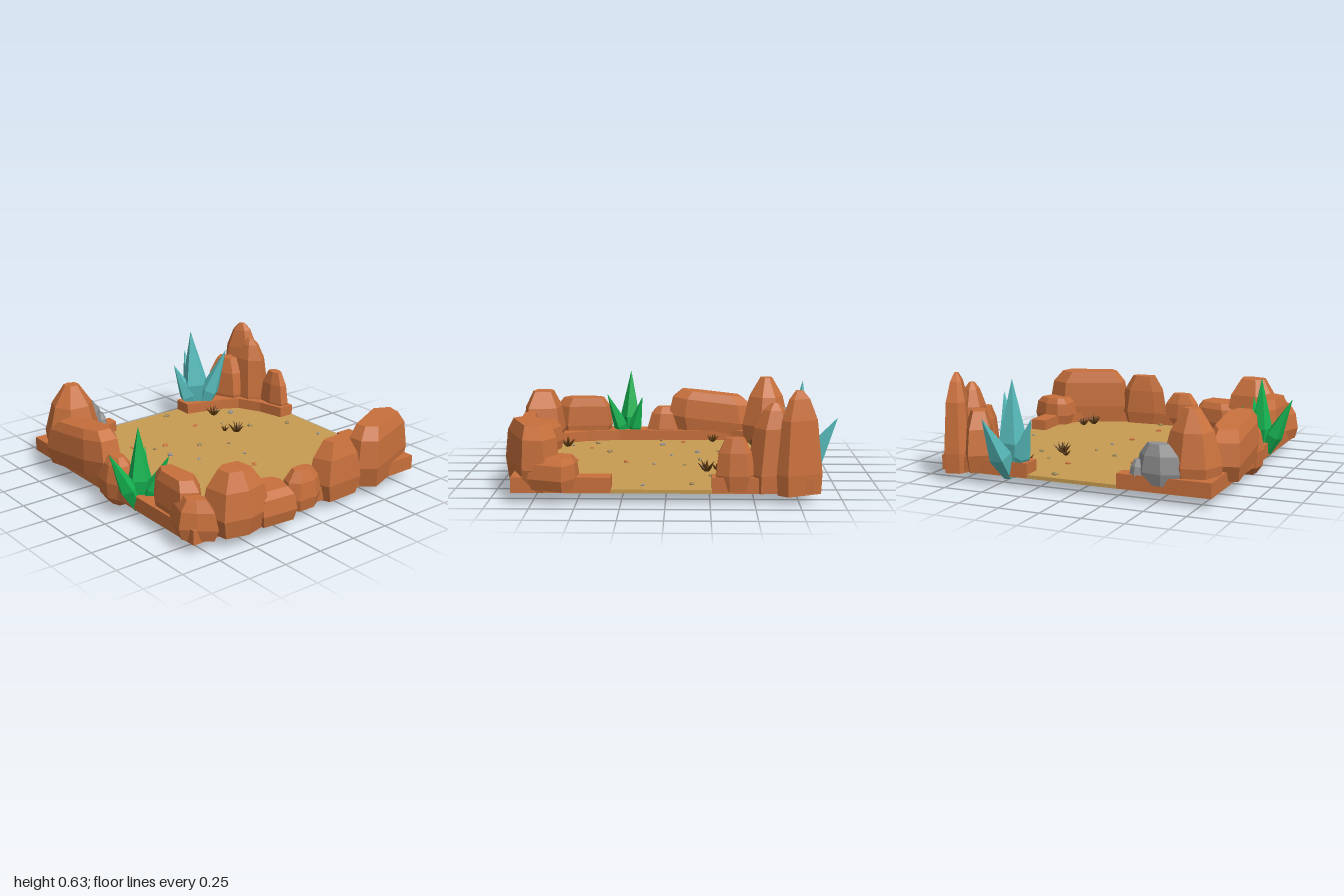
import * as THREE from 'three';
import { ConvexGeometry } from 'three/addons/geometries/ConvexGeometry.js';

const paint = (color) => new THREE.MeshStandardMaterial({ color, flatShading: true });
const rockMat = paint(0xc8703c), sandMat = paint(0xc89c52), greyMat = paint(0x909090);
const greenMat = paint(0x16b552), tealMat = paint(0x58bcbc), tuftMat = paint(0x5c3a12), tanMat = paint(0x9c8654);

// Default boulder profile: [height fraction, footprint scale]
const BOULDER = [[0, 0.82], [0.3, 1], [0.72, 0.84], [1, 0.48]];
const COLUMN = [[0, 0.95], [0.2, 1], [0.72, 0.78], [0.92, 0.45], [1, 0.16]];
const BLOCK = [[0, 0.88], [0.35, 1], [0.8, 0.9], [1, 0.68]];

// Faceted rock: a footprint of [x, z] corners stacked at several heights, optionally leaning and sloping in z
function rock(name, foot, y0, y1, profile = BOULDER, { lean = [0, 0], slope = 0, mat = rockMat } = {}) {
  const cx = foot.reduce((s, p) => s + p[0], 0) / foot.length;
  const cz = foot.reduce((s, p) => s + p[1], 0) / foot.length;
  const pts = [];
  for (const [t, s] of profile) {
    for (const [x, z] of foot) {
      const px = cx + (x - cx) * s + lean[0] * t, pz = cz + (z - cz) * s + lean[1] * t;
      pts.push(new THREE.Vector3(px, y0 + (y1 - y0) * t + slope * (pz - cz), pz));
    }
  }
  const mesh = new THREE.Mesh(new ConvexGeometry(pts), mat);
  mesh.name = name;
  return mesh;
}

// Irregular seven-sided footprint inside a rectangle
function oval(x0, x1, z0, z1, turn = 0.3) {
  const out = [];
  for (let i = 0; i < 7; i++) {
    const a = turn + (i / 7) * Math.PI * 2;
    const c = Math.cos(a), s = Math.sin(a), k = 1 / Math.pow(c ** 4 + s ** 4, 0.25);
    out.push([(x0 + x1) / 2 + c * k * (x1 - x0) / 2, (z0 + z1) / 2 + s * k * (z1 - z0) / 2]);
  }
  return out;
}

// Pointed shard from a base point to a tip
function shard(name, base, tip, radius, sides, mat) {
  const a = new THREE.Vector3(...base), d = new THREE.Vector3(...tip).sub(a), h = d.length();
  const profile = [[0, 0], [radius * 0.55, 0], [radius, h * 0.36], [radius * 0.6, h * 0.62], [0, h]];
  const geo = new THREE.LatheGeometry(profile.map(([r, y]) => new THREE.Vector2(r, y)), sides);
  const mesh = new THREE.Mesh(geo, mat);
  mesh.position.copy(a);
  mesh.quaternion.setFromUnitVectors(new THREE.Vector3(0, 1, 0), d.normalize());
  mesh.name = name;
  return mesh;
}

// Raised slab from a plan outline of [x, z] points
function slab(name, outline, y0, y1, mat) {
  const shape = new THREE.Shape(outline.map(([x, z]) => new THREE.Vector2(x, -z)));
  const geo = new THREE.ExtrudeGeometry(shape, { depth: y1 - y0, bevelEnabled: false });
  geo.rotateX(-Math.PI / 2);
  const mesh = new THREE.Mesh(geo, mat);
  mesh.position.y = y0;
  mesh.name = name;
  return mesh;
}

function group(name, parts) {
  const g = new THREE.Group();
  g.name = name;
  g.add(...parts);
  return g;
}

export function createModel() {
  const model = new THREE.Group();
  model.name = 'desertArena';

  // Sand floor and the two raised ledges around it
  model.add(
    slab('sandFloor', [[-0.825, -0.825], [0.865, -0.825], [0.865, 0.865], [-0.825, 0.865]], 0.058, 0.08, sandMat),
    slab('mainLedge', [[-0.828, -0.828], [-0.265, -0.828], [-0.265, -0.745], [-0.48, -0.68], [-0.61, -0.57],
      [-0.68, -0.42], [-0.67, 0], [-0.67, 0.35], [-0.62, 0.57], [-0.54, 0.71], [-0.4, 0.78], [0.36, 0.79],
      [0.54, 0.74], [0.68, 0.64], [0.76, 0.5], [0.76, 0.305], [0.868, 0.305], [0.868, 0.868], [-0.828, 0.868]],
      0.06, 0.148, rockMat),
    slab('backRightLedge', [[0.868, -0.828], [0.868, -0.26], [0.765, -0.26], [0.725, -0.43], [0.65, -0.58],
      [0.54, -0.64], [0.3, -0.705], [0.3, -0.828]], 0.06, 0.148, rockMat));

  // Front row of boulders
  model.add(group('frontRocks', [
    rock('frontCornerBoulder', [[-0.71, 0.78], [-0.6, 0.71], [-0.39, 0.73], [-0.36, 0.95], [-0.52, 0.99], [-0.68, 0.95]], 0.07, 0.44),
    rock('frontLowRock', [[-0.45, 0.72], [-0.37, 0.7], [-0.17, 0.76], [-0.14, 0.84], [-0.19, 0.99], [-0.42, 0.97]], 0.07, 0.27, BLOCK),
    rock('frontSmallRock', oval(-0.16, 0.1, 0.77, 0.92), 0.06, 0.3),
    rock('frontRoundRock', [[0.07, 0.79], [0.15, 0.77], [0.35, 0.76], [0.42, 0.82], [0.38, 0.91], [0.12, 0.92]], 0.05, 0.41),
    rock('frontLargeRock', [[0.38, 0.78], [0.61, 0.71], [0.77, 0.6], [0.91, 0.67], [0.88, 0.8], [0.48, 0.95], [0.39, 0.88]], 0.06, 0.43, BLOCK),
    rock('frontRightRock', [[0.7, 0.52], [0.76, 0.49], [0.86, 0.5], [0.97, 0.57], [0.89, 0.77], [0.69, 0.64]], 0.08, 0.26, BLOCK),
  ]));

  // Left side boulders
  model.add(group('leftRocks', [
    rock('leftFrontRock', [[-0.81, 0.48], [-0.76, 0.4], [-0.67, 0.42], [-0.64, 0.7], [-0.72, 0.8], [-0.82, 0.74]], 0.08, 0.37, BLOCK),
    rock('leftCornerRock', [[-0.87, 0.79], [-0.82, 0.63], [-0.7, 0.65], [-0.66, 0.85], [-0.71, 0.94], [-0.8, 0.87]], 0.07, 0.3),
    rock('leftSmallRock', oval(-0.86, -0.68, -0.08, 0.16), 0, 0.3, [[0, 0.5], [0.17, 0.9], [0.5, 1], [0.85, 0.75], [1, 0.4]]),
    rock('leftLeaningRock', [[-0.9, -0.56], [-0.74, -0.6], [-0.67, -0.48], [-0.665, -0.1], [-0.72, 0.01], [-0.84, 0], [-0.885, -0.15]],
      0.12, 0.4, BLOCK, { slope: 0.12 }),
  ]));

  // Back left boulder and grey stones
  model.add(group('backLeftRocks', [
    rock('backLeftBoulder', [[-0.83, -0.64], [-0.78, -0.78], [-0.64, -0.81], [-0.5, -0.73], [-0.475, -0.61], [-0.58, -0.49], [-0.75, -0.51]],
      0.07, 0.52, [[0, 0.9], [0.3, 1], [0.72, 0.72], [1, 0.26]]),
    rock('greyStone', [[-0.65, -0.8], [-0.54, -0.85], [-0.42, -0.83], [-0.36, -0.76], [-0.42, -0.7], [-0.58, -0.71]], 0.1, 0.33, BOULDER, { mat: greyMat }),
    rock('smallGreyStone', oval(-0.42, -0.335, -0.83, -0.71), 0.1, 0.23, BOULDER, { mat: greyMat }),
  ]));

  // Tall columns at the back right
  model.add(group('backRightRocks', [
    rock('tallColumn', [[0.7, -0.8], [0.73, -0.86], [0.82, -0.88], [0.92, -0.68], [0.87, -0.62], [0.77, -0.64]], 0.05, 0.635, COLUMN, { lean: [0.005, 0.005] }),
    rock('middleColumn', [[0.68, -0.66], [0.75, -0.72], [0.86, -0.67], [0.885, -0.53], [0.79, -0.45], [0.7, -0.53]], 0.06, 0.56, COLUMN, { lean: [0, -0.02] }),
    rock('shortColumn', [[0.54, -0.8], [0.66, -0.88], [0.76, -0.76], [0.74, -0.6], [0.63, -0.61]], 0.06, 0.42),
    rock('lowRightRock', oval(0.76, 0.885, -0.5, -0.28), 0.07, 0.37),
  ]));

  // Crystal clusters: [tip, radius], the tallest first
  const crystals = (name, base, shards, mat) => group(name, shards.map(([tip, r], i) => {
    const from = [base[0] + (tip[0] - base[0]) * 0.1, base[1], base[2] + (tip[2] - base[2]) * 0.1];
    return shard('crystalShard' + (i + 1), from, tip, r, 5, mat);
  }));
  model.add(
    crystals('greenCrystals', [-0.77, 0.055, 0.28],
      [[[-0.77, 0.55, 0.27], 0.07], [[-0.97, 0.43, 0.27], 0.055], [[-0.67, 0.4, 0.43], 0.05], [[-0.67, 0.38, 0.19], 0.05]], greenMat),
    crystals('tealCrystals', [0.43, 0.055, -0.76],
      [[[0.4, 0.635, -0.8], 0.09], [[0.56, 0.52, -0.61], 0.065], [[0.49, 0.43, -1], 0.07], [[0.27, 0.41, -0.82], 0.06]], tealMat));

  // Dry grass tufts: [x, z, size]
  const tufts = [[-0.48, -0.56, 0.04], [-0.62, -0.29, 0.045], [0.43, -0.58, 0.055], [0.31, -0.3, 0.035],
    [0.36, -0.24, 0.06], [-0.42, 0.68, 0.055], [0.55, 0.63, 0.055], [0.6, 0.57, 0.045]];
  tufts.forEach(([x, z, s], n) => {
    const blades = [];
    for (let i = 0; i < 7; i++) {
      const a = n + (i / 7) * Math.PI * 2, reach = i % 2 ? 0.75 : 1;
      const tip = [x + Math.cos(a) * s * reach, 0.078 + s * (1.6 - reach * 0.6), z + Math.sin(a) * s * reach];
      blades.push(shard('blade', [x, 0.075, z], tip, s * 0.16, 4, tuftMat));
    }
    blades.push(shard('blade', [x, 0.075, z], [x, 0.078 + s * 1.3, z], s * 0.16, 4, tuftMat));
    model.add(group('grassTuft', blades));
  });

  // Scattered pebbles by colour: [x, z, radius]
  const pebbles = [
    [rockMat, [[0.2, -0.49, 0.016], [-0.35, -0.43, 0.012], [-0.16, -0.33, 0.019], [-0.58, -0.09, 0.016],
      [0.1, 0.26, 0.018], [-0.35, 0.51, 0.012], [0.04, 0.58, 0.018]]],
    [tanMat, [[0.155, -0.755, 0.02], [-0.25, -0.32, 0.012], [0.02, -0.2, 0.017], [0.495, -0.265, 0.018], [0.73, -0.15, 0.018],
      [0.19, -0.105, 0.012], [-0.64, 0.06, 0.012], [-0.235, 0.385, 0.02], [-0.53, 0.485, 0.018], [0.1, 0.765, 0.018], [0.37, -0.41, 0.011]]],
    [greyMat, [[0.55, -0.54, 0.02], [-0.225, -0.185, 0.018], [-0.12, -0.02, 0.012], [-0.48, 0.045, 0.019],
      [0.165, 0.085, 0.011], [0.76, 0.13, 0.012], [-0.445, 0.64, 0.01]]],
  ];
  const pebbleGeo = new THREE.IcosahedronGeometry(1, 0);
  for (const [mat, spots] of pebbles) {
    spots.forEach(([x, z, r], i) => {
      const p = new THREE.Mesh(pebbleGeo, mat);
      p.name = 'pebble';
      p.position.set(x, 0.084, z);
      p.scale.set(r * 1.15, r * 0.65, r * 0.9);
      p.rotation.y = i * 1.7;
      model.add(p);
    });
  }
  return model;
}
